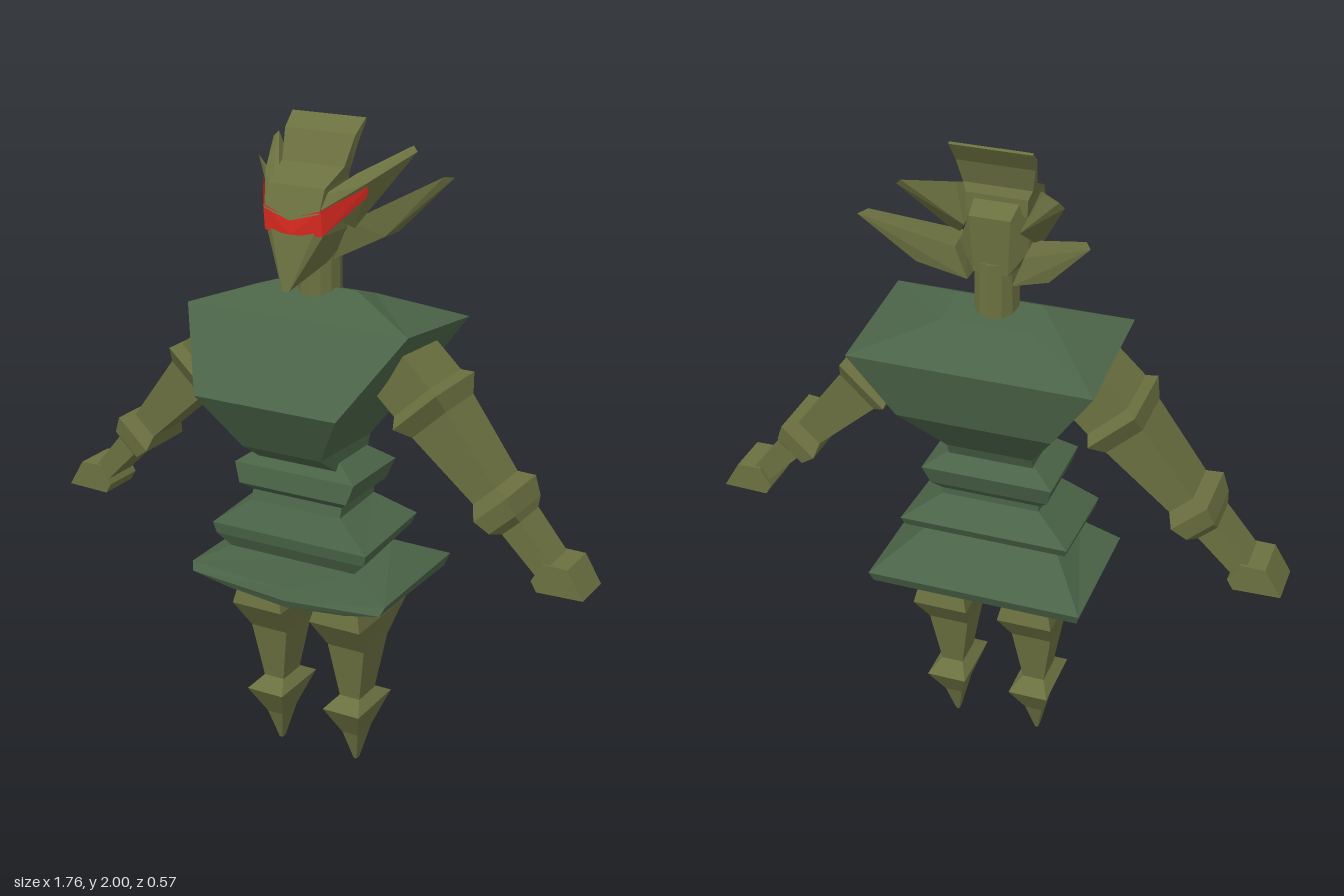
import * as THREE from 'three';
import { ConvexGeometry } from 'three/addons/geometries/ConvexGeometry.js';

const paint = (name, color, side = THREE.FrontSide) => {
  const m = new THREE.MeshStandardMaterial({ color, flatShading: true, side });
  m.name = name;
  return m;
};

// Closed skin through equal-length rings of [x, y, z]; always faces outward
function loft(rings) {
  const tris = [], n = rings[0].length;
  for (let r = 0; r < rings.length - 1; r++) {
    for (let i = 0; i < n; i++) {
      const j = (i + 1) % n, a = rings[r], b = rings[r + 1];
      tris.push([a[i], b[i], b[j]], [a[i], b[j], a[j]]);
    }
  }
  const first = rings[0], last = rings[rings.length - 1];
  for (let i = 1; i < n - 1; i++) {
    tris.push([first[0], first[i], first[i + 1]], [last[0], last[i + 1], last[i]]);
  }
  let volume = 0;
  for (const [a, b, c] of tris) {
    volume += new THREE.Vector3(...a).dot(new THREE.Vector3(...b).cross(new THREE.Vector3(...c)));
  }
  if (volume < 0) tris.forEach((t) => t.reverse());
  return surface(tris);
}

function surface(tris) {
  const g = new THREE.BufferGeometry();
  g.setAttribute('position', new THREE.Float32BufferAttribute(tris.flat(2), 3));
  g.computeVertexNormals();
  return g;
}

const hull = (points) => new ConvexGeometry(points.map((p) => new THREE.Vector3(...p)));
const flip = (s, points) => points.map(([x, y, z]) => [s * x, y, z]);

export function createModel() {
  const model = new THREE.Group();
  const olive = paint('olive', 0x6b7040);
  const green = paint('dark green', 0x4a6347);
  const red = paint('red', 0xdd2a20, THREE.DoubleSide);
  const add = (name, geometry, material, parent = model) => {
    const mesh = new THREE.Mesh(geometry, material);
    mesh.name = name;
    parent.add(mesh);
    return mesh;
  };

  // Body rings: front y, z, half width; back y, z, half width; drop of the front centre
  const bodyRing = ([yf, zf, wf, yb, zb, wb, drop = 0]) => [
    [wf, yf, zf], [0, yf - drop, zf], [-wf, yf, zf],
    [-wb, yb, zb], [0, yb, zb], [wb, yb, zb],
  ];
  add('chest', loft([
    [1.52, -0.02, 0.13, 1.487, -0.13, 0.13],
    [1.45, 0.11, 0.36, 1.41, -0.285, 0.36],
    [1.235, 0.285, 0.23, 1.22, -0.245, 0.23],
    [1.07, 0.19, 0.13, 1.06, -0.11, 0.13],
    [1.01, 0.1, 0.13, 1.01, -0.09, 0.13],
  ].map(bodyRing)), green);
  add('waistAndSkirt', loft([
    [1.03, 0.08, 0.13, 1.03, -0.09, 0.13],
    [0.985, 0.12, 0.2, 0.985, -0.14, 0.2],
    [0.925, 0.13, 0.18, 0.925, -0.12, 0.18],
    [0.9, 0.1, 0.15, 0.9, -0.1, 0.15],
    [0.87, 0.11, 0.15, 0.88, -0.1, 0.15],
    [0.79, 0.155, 0.26, 0.81, -0.17, 0.26],
    [0.755, 0.15, 0.25, 0.78, -0.155, 0.25],
    [0.715, 0.13, 0.21, 0.74, -0.1, 0.21],
    [0.65, 0.165, 0.33, 0.655, -0.265, 0.33, 0.02],
    [0.625, 0.18, 0.32, 0.62, -0.25, 0.32, 0.025],
    [0.595, 0.17, 0.2, 0.6, -0.14, 0.2, 0.02],
  ].map(bodyRing)), green);

  // Arms: square rings across the sloping limb: x, y, half width, half depth
  const armRing = ([x, y, w, d]) => {
    const px = 0.73 * w, py = 0.68 * w, z = -0.03;
    return [
      [x + px, y + py, z + d], [x - px, y - py, z + d],
      [x - px, y - py, z - d], [x + px, y + py, z - d],
    ];
  };
  const armRings = [
    [0.26, 1.34, 0.075, 0.1], [0.355, 1.25, 0.075, 0.1],
    [0.375, 1.23, 0.09, 0.125], [0.405, 1.19, 0.07, 0.09],
    [0.575, 1.005, 0.045, 0.077], [0.605, 0.978, 0.068, 0.1],
    [0.638, 0.935, 0.052, 0.09], [0.655, 0.92, 0.036, 0.065],
    [0.76, 0.805, 0.03, 0.06],
  ].map(armRing);
  const handOutline = [
    [0.755, 0.833], [0.83, 0.832], [0.88, 0.748], [0.74, 0.744], [0.722, 0.775],
  ];
  const handRings = [0.037, -0.1].map((z) => handOutline.map(([x, y]) => [x, y, z]));

  // Legs: height, half width, half depth
  const legRings = [
    [0.66, 0.07, 0.13], [0.59, 0.068, 0.135], [0.515, 0.085, 0.15],
    [0.415, 0.062, 0.077], [0.235, 0.034, 0.05], [0.205, 0.062, 0.107],
    [0.105, 0.027, 0.045], [0, 0.005, 0.01],
  ].map(([y, w, d]) => [
    [0.135 + w, y, -0.035 + d], [0.135 - w, y, -0.035 + d],
    [0.135 - w, y, -0.035 - d], [0.135 + w, y, -0.035 - d],
  ]);

  const neck = add('neck', new THREE.CylinderGeometry(0.063, 0.065, 0.17, 12), olive);
  neck.position.set(0, 1.575, -0.037);

  // Head with pointed chin
  const head = new THREE.Group();
  head.name = 'head';
  model.add(head);
  const halfSkull = [
    [0.012, 1.545, 0.158], [0.05, 1.6, 0.01], [0.09, 1.7, 0.105], [0.09, 1.77, 0.105],
    [0.07, 1.85, 0.02], [0.1, 1.7, -0.06], [0.06, 1.8, -0.1], [0.05, 1.63, -0.09],
  ];
  add('skull', hull([
    ...halfSkull, ...flip(-1, halfSkull), [0, 1.54, 0.16], [0, 1.7, 0.125], [0, 1.75, 0.12],
  ]), olive, head);

  // Swept crest: front y, front z, back y, back z, half width
  add('crest', loft([
    [1.765, 0.125, 1.79, -0.04, 0.088, 0.025],
    [1.83, 0.097, 1.84, -0.04, 0.09, 0],
    [1.875, 0.005, 1.865, -0.03, 0.1, 0],
    [1.96, -0.035, 1.935, -0.05, 0.113, 0],
    [2, -0.085, 1.995, -0.09, 0.118, 0],
  ].map(([yf, zf, yb, zb, w, drop]) => [
    [w, yf, zf], [0, yf - drop, zf + drop * 0.4], [-w, yf, zf], [-w, yb, zb], [w, yb, zb],
  ])), olive, head);

  for (const s of [1, -1]) {
    const side = s > 0 ? 'left' : 'right';
    const mirrored = (rings) => rings.map((r) => flip(s, r));
    add(side + 'Arm', loft(mirrored(armRings)), olive);
    add(side + 'Hand', loft(mirrored(handRings)), olive);
    add(side + 'Leg', loft(mirrored(legRings)), olive);

    // Brow horn and lower ear horn
    add(side + 'BrowHorn', hull(flip(s, [
      [0.22, 1.915, -0.18], [0.235, 1.9, -0.175], [0.165, 1.835, -0.01], [0.125, 1.855, -0.02],
      [0.08, 1.81, 0.095], [0.09, 1.775, 0.118], [0.12, 1.7, -0.02], [0.08, 1.76, -0.08],
    ])), olive, head);
    add(side + 'EarHorn', hull(flip(s, [
      [0.325, 1.825, -0.235], [0.305, 1.83, -0.205], [0.18, 1.668, -0.09], [0.19, 1.67, -0.16],
      [0.065, 1.608, 0], [0.065, 1.608, -0.1], [0.1, 1.715, -0.02], [0.1, 1.7, -0.1],
    ])), olive, head);

    // Glowing eye band wrapping the face
    const [a, b, c, d, e, f] = flip(s, [
      [0, 1.7, 0.132], [0, 1.745, 0.132], [0.092, 1.775, 0.123],
      [0.092, 1.7, 0.114], [0.17, 1.827, -0.008], [0.165, 1.795, -0.008],
    ]);
    add(side + 'Eye', surface([[a, d, c], [a, c, b], [d, f, e], [d, e, c]]
      .map((t) => (s > 0 ? t : t.reverse()))), red, head);
  }
  return model;
}
